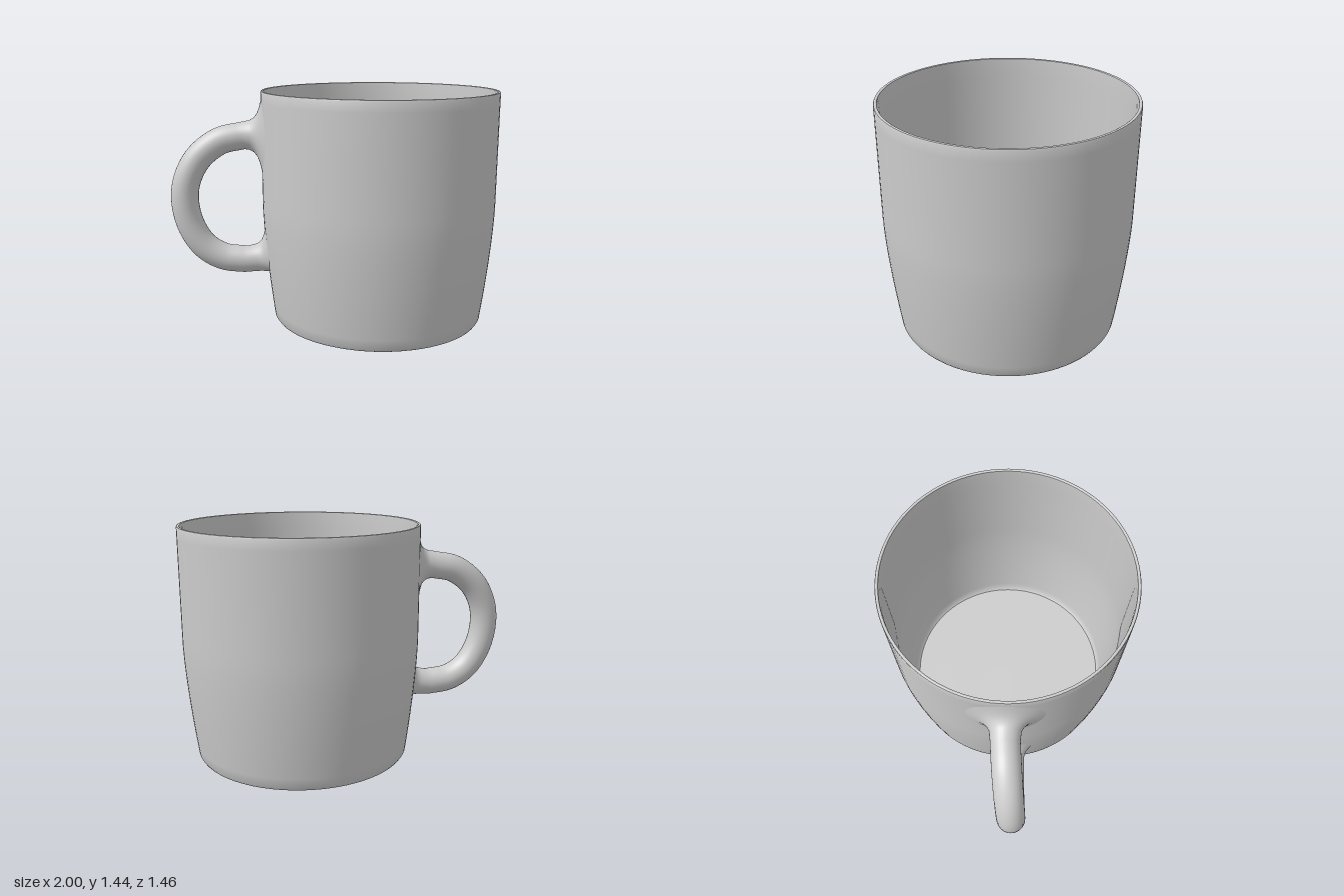
import * as THREE from 'three';
import { toCreasedNormals } from 'three/addons/utils/BufferGeometryUtils.js';

const CX = 0.28;      // centre of the cup
const SQUASH = 0.982; // the cup is slightly narrower in x
const TOP = 1.44;

// Outer radius: straight above, tapering towards the foot
const outerRadius = (y) => 0.732 - 0.067 * Math.pow(Math.max(0, 0.75 - y) / 0.72, 1.5);

// x of the cup's outer wall on the handle side
const wallX = (y, z) => CX - SQUASH * Math.sqrt(outerRadius(y) ** 2 - z * z);

function createCup(material) {
  const wall = 0.021, floorY = 0.05, steps = 24;
  const profile = [[0, 0], [0.3, 0.003], [0.52, 0.009], [0.645, 0.02], [0.657, 0.026]];
  for (let i = 0; i <= steps; i++) { // outside
    const y = 0.04 + (TOP - 0.05) * i / steps;
    profile.push([outerRadius(y), Math.min(y, TOP - 0.009)]);
  }
  // rounded rim
  profile.push([0.729, TOP - 0.002], [0.724, TOP], [0.718, TOP], [0.713, TOP - 0.003]);
  for (let i = steps; i >= 0; i--) { // inside
    const y = floorY + 0.012 + (TOP - 0.075 - floorY) * i / steps;
    profile.push([outerRadius(y) - wall, y]);
  }
  profile.push([0.637, floorY], [0.4, floorY - 0.003], [0, floorY - 0.004]);
  const lathe = new THREE.LatheGeometry(profile.map(([r, y]) => new THREE.Vector2(r, y)), 96);
  lathe.scale(SQUASH, 1, 1);
  lathe.translate(CX, 0, 0);
  const cup = new THREE.Mesh(toCreasedNormals(lathe, 0.7), material);
  cup.name = 'cup';
  return cup;
}

function createHandle(material) {
  const sides = 32, radius = 0.084;
  const positions = [], index = [];
  let rings = 0;
  const addRing = (point) => {
    for (let j = 0; j < sides; j++) {
      const a = j / sides * Math.PI * 2;
      positions.push(...point(Math.cos(a), Math.sin(a)));
    }
    rings++;
  };

  // Root ring following the curved wall at distance d
  const addRoot = (d, r, cy, cz, dir) => addRing((c, s) => {
    const y = cy + dir * r * c, z = cz + r * s;
    return [wallX(y, z) - d, y, z];
  });

  // Flared upper root
  for (const [d, r] of [[-0.006, 0.25], [0.004, 0.205], [0.014, 0.165], [0.028, 0.13], [0.048, 0.105], [0.075, 0.09]])
    addRoot(d, r, 1.168, -0.01, -1);

  // Loop of the handle
  const path = new THREE.CatmullRomCurve3([
    [-0.56, 1.164, -0.01], [-0.69, 1.135, -0.003], [-0.82, 1.04, 0.008], [-0.895, 0.91, 0.018],
    [-0.916, 0.78, 0.023], [-0.887, 0.62, 0.025], [-0.805, 0.483, 0.025], [-0.69, 0.41, 0.025],
    [-0.55, 0.39, 0.025],
  ].map((p) => new THREE.Vector3(...p)));
  const count = 48;
  for (let i = 0; i <= count; i++) {
    const p = path.getPointAt(i / count), t = path.getTangentAt(i / count);
    const len = Math.hypot(t.x, t.y);
    addRing((c, s) => [p.x - t.y / len * radius * c, p.y + t.x / len * radius * c, p.z + radius * s]);
  }

  // Lower root, flared upwards and sideways only
  for (const [d, r] of [[0.07, 0.085], [0.045, 0.09], [0.025, 0.1], [0.01, 0.116], [-0.006, 0.14]])
    addRoot(d, r, 0.312 + r, 0.022, 1);

  for (let i = 0; i < rings - 1; i++) {
    for (let j = 0; j < sides; j++) {
      const k = (j + 1) % sides;
      const a = i * sides + j, b = i * sides + k;
      index.push(a, b, b + sides, a, b + sides, a + sides);
    }
  }
  const geometry = new THREE.BufferGeometry();
  geometry.setAttribute('position', new THREE.Float32BufferAttribute(positions, 3));
  geometry.setIndex(index);
  geometry.computeVertexNormals();
  const handle = new THREE.Mesh(geometry, material);
  handle.name = 'handle';
  return handle;
}

export function createModel() {
  const material = new THREE.MeshStandardMaterial({ color: 0xcccccc });
  const mug = new THREE.Group();
  mug.name = 'mug';
  mug.add(createCup(material), createHandle(material));
  return mug;
}
